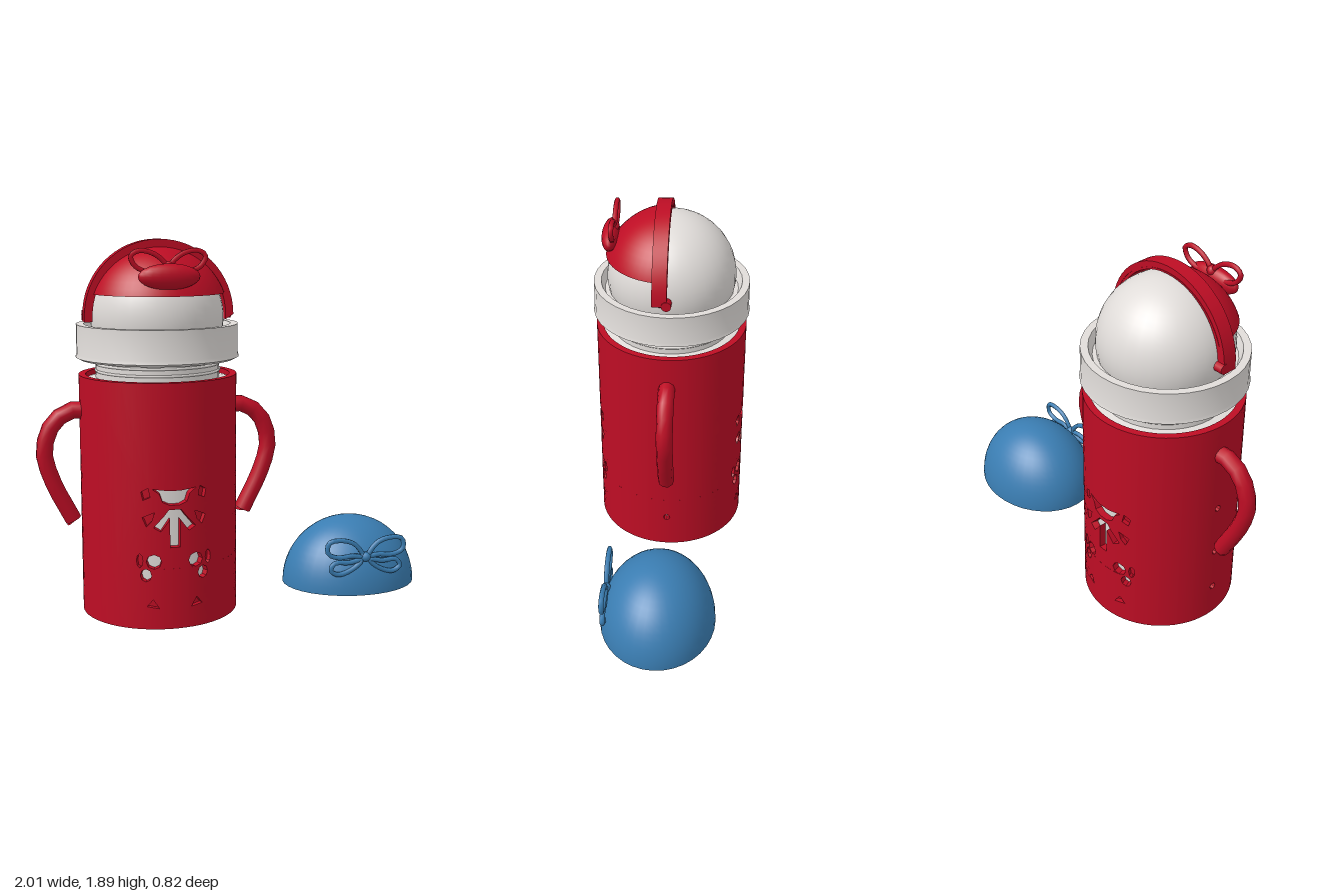
import * as THREE from 'three';
import { toCreasedNormals } from 'three/addons/utils/BufferGeometryUtils.js';

const R = 0.395, WALL = 0.035, CX = -0.39, CAPX = 0.643;
const V2 = (p) => new THREE.Vector2(p[0], p[1]);

export function createModel() {
  const mat = (name, color, side = THREE.FrontSide) => {
    const m = new THREE.MeshStandardMaterial({ color, side });
    m.name = name;
    return m;
  };
  const red = mat('red plastic', 0xbd0d24, THREE.DoubleSide);
  const white = mat('white plastic', 0xe0dcd9, THREE.DoubleSide);
  const blue = mat('blue plastic', 0x3a7db2, THREE.DoubleSide);

  const model = new THREE.Group();
  const bottle = new THREE.Group();
  bottle.name = 'bottle';
  bottle.position.x = CX;
  const cap = new THREE.Group();
  cap.name = 'spareCap';
  cap.position.x = CAPX;
  model.add(bottle, cap);

  const add = (parent, name, geo, material, x = 0, y = 0, z = 0) => {
    const m = new THREE.Mesh(geo, material);
    m.name = name;
    m.position.set(x, y, z);
    parent.add(m);
    return m;
  };
  const lathe = (pts, seg = 40) => toCreasedNormals(new THREE.LatheGeometry(pts.map(V2), seg), 0.6);
  const tube = (pts, r, seg, sides, closed = false) => new THREE.TubeGeometry(
    new THREE.CatmullRomCurve3(pts.map((p) => new THREE.Vector3(p[0], p[1], p[2] || 0)), closed), seg, r, sides, closed);

  // Extrude a flat sheet, slice it finely along x, then roll it round the y axis
  const rolledSheet = (shape, depth, innerRadius) => {
    const src = new THREE.ExtrudeGeometry(shape, { depth, bevelEnabled: false }).toNonIndexed
      ? new THREE.ExtrudeGeometry(shape, { depth, bevelEnabled: false }) : null;
    const pos = src.attributes.position, out = [], todo = [];
    for (let i = 0; i < pos.count; i += 3)
      todo.push([0, 1, 2].map((k) => new THREE.Vector3().fromBufferAttribute(pos, i + k)));
    while (todo.length) {
      const t = todo.pop();
      const spans = [0, 1, 2].map((k) => Math.abs(t[k].x - t[(k + 1) % 3].x));
      const k = spans.indexOf(Math.max(...spans));
      if (spans[k] > 0.06) {
        const a = t[k], b = t[(k + 1) % 3], c = t[(k + 2) % 3];
        const mid = a.clone().add(b).multiplyScalar(0.5);
        todo.push([a, mid, c], [mid, b, c]);
      } else out.push(...t);
    }
    const geo = new THREE.BufferGeometry().setFromPoints(out);
    geo.computeVertexNormals();
    const p = geo.attributes.position, n = geo.attributes.normal;
    for (let i = 0; i < p.count; i++) {
      const a = p.getX(i) / R, s = Math.sin(a), c = Math.cos(a), r = innerRadius + p.getZ(i);
      p.setXYZ(i, r * s, p.getY(i), r * c);
      const nx = n.getX(i), nz = n.getZ(i);
      n.setXYZ(i, nx * c + nz * s, n.getY(i), nz * c - nx * s);
    }
    return geo;
  };

  // Cut-out pattern, listed for one half and mirrored
  const oval = (x, y, rx, ry, n = 8) => Array.from({ length: n }, (_, i) => {
    const a = (i / n) * Math.PI * 2;
    return [x + rx * Math.cos(a), y + ry * Math.sin(a)];
  });
  const flip = (pts) => pts.map(([x, y]) => [-x, y]).reverse();
  const symmetric = (half) => [...half, ...flip(half)];
  const both = (list) => [...list, ...list.map(flip)];
  const through = [
    symmetric([[0.025, 0.635], [0.06, 0.65], [0.075, 0.69], [0.11, 0.715], [0.03, 0.705]]),
    symmetric([[0.025, 0.425], [0.025, 0.565], [0.07, 0.505], [0.105, 0.525], [0.055, 0.58], [0.03, 0.612]]),
    ...both([oval(0.105, 0.355, 0.038, 0.036), oval(0.145, 0.287, 0.028, 0.032)]),
  ];
  const recessed = both([
    [[0.12, 0.675], [0.155, 0.66], [0.165, 0.70], [0.13, 0.72]],
    [[0.115, 0.555], [0.14, 0.53], [0.16, 0.575], [0.1, 0.6]],
    oval(0.175, 0.36, 0.016, 0.035),
    [[0.08, 0.12], [0.14, 0.13], [0.11, 0.165]],
  ]);
  const shift = (pts, dx) => pts.map(([x, y]) => [x + dx, y]);

  // Rolled outer sleeve with cut-outs on front and back, and small holes down each side
  const u0 = -Math.PI / 3 * R, u1 = u0 + 2 * Math.PI * R;
  const sheet = new THREE.Shape([[u0, 0.015], [u1, 0.015], [u1, 1.225], [u0, 1.225]].map(V2));
  const punch = (pts) => sheet.holes.push(new THREE.Path(pts.map(V2)));
  for (const dx of [0, Math.PI * R]) {
    through.forEach((h) => punch(shift(h, dx)));
    recessed.forEach((h) => {
      punch(shift(h, dx));
      add(bottle, 'recessFloor', rolledSheet(new THREE.Shape(shift(h, dx).map(V2)), 0.01, R - WALL + 0.002), red);
    });
    for (const y of [0.2, 0.44, 0.72]) punch(oval(dx + Math.PI / 2 * R, y, 0.018, 0.018));
  }
  add(bottle, 'outerSleeve', rolledSheet(sheet, WALL, R - WALL), red);

  // Inner liner with shoulder and threaded neck, open below
  add(bottle, 'innerLiner', lathe([[0.357, 0.02], [0.357, 1.2], [0.31, 1.21], [0.31, 1.32]]), white);
  for (const y of [1.245, 1.28]) {
    const ridge = add(bottle, 'neckThread', new THREE.TorusGeometry(0.309, 0.007, 6, 40), white, 0, y);
    ridge.rotation.x = Math.PI / 2;
  }
  add(bottle, 'straw', tube([[0.06, 0.08, 0.06], [0.03, 0.6, 0.03], [0, 1.4, 0]], 0.035, 12, 10), white);

  // Screw collar and domed lid
  add(bottle, 'collar', lathe([[0, 1.40], [0.3, 1.32], [0.385, 1.30], [0.408, 1.312], [0.403, 1.33],
    [0.403, 1.475], [0.365, 1.475], [0.345, 1.43], [0, 1.43]], 36), white);
  add(bottle, 'lidDome', new THREE.SphereGeometry(0.332, 32, 18, 0, Math.PI * 2, 0, 1.8), white, 0, 1.508);

  // Visor with its edge band and pivots
  add(bottle, 'visor', new THREE.SphereGeometry(0.357, 28, 12, 0, Math.PI, 0, Math.acos(0.122 / 0.357)), red, 0, 1.503);
  const arch = new THREE.Shape();
  arch.moveTo(0.373, -0.025);
  arch.absarc(0, 0, 0.373, 0, Math.PI, false);
  arch.lineTo(-0.373, -0.025);
  arch.lineTo(-0.333, -0.025);
  arch.absarc(0, 0, 0.333, Math.PI, 0, true);
  arch.lineTo(0.333, -0.025);
  const archGeo = new THREE.ExtrudeGeometry(arch, { depth: 0.075, bevelEnabled: false, curveSegments: 16 });
  add(bottle, 'visorBand', toCreasedNormals(archGeo, 0.6), red, 0, 1.517, 0.002);
  for (const s of [-1, 1]) {
    const pivot = add(bottle, 'visorPivot', new THREE.CylinderGeometry(0.026, 0.026, 0.05, 10), red, s * 0.35, 1.52, 0.005);
    pivot.rotation.z = Math.PI / 2;
  }

  // Wire bows made of mirrored loops
  const bow = (parent, material, x, y, z, loops) => {
    for (const s of [-1, 1]) for (const l of loops)
      add(parent, 'bowLoop', tube(l.map(([a, b]) => [a * s, b, 0]), 0.013, 24, 6, true), material, x, y, z);
    add(parent, 'bowKnot', new THREE.SphereGeometry(0.026, 10, 8), material, x, y, z);
  };
  bow(bottle, red, 0, 1.765, 0.29, [[[0.01, 0], [0.06, 0.055], [0.14, 0.075], [0.18, 0.05], [0.155, 0], [0.08, -0.025]]]);
  const nose = add(bottle, 'visorCushion', new THREE.SphereGeometry(1, 20, 14), red, 0, 1.718, 0.31);
  nose.scale.set(0.15, 0.062, 0.045);

  // Side handles
  for (const s of [-1, 1]) {
    const path = [[0.36, 1.05], [0.44, 1.05], [0.53, 0.99], [0.577, 0.85], [0.54, 0.7], [0.44, 0.495]]
      .map(([x, y]) => new THREE.Vector3(x * s, y, 0));
    const handle = new THREE.Group();
    handle.name = 'handle';
    bottle.add(handle);
    const curve = new THREE.CatmullRomCurve3(path);
    add(handle, 'handleGrip', new THREE.TubeGeometry(curve, 10, 0.043, 10), red);
    const end = add(handle, 'handleEnd', new THREE.CircleGeometry(0.043, 10), red, path[5].x, path[5].y);
    end.lookAt(path[5].clone().add(curve.getTangent(1)));
  }

  // Spare cap: open half dome with a bow and a sagging strap below
  const shell = add(cap, 'capShell', new THREE.SphereGeometry(1, 36, 14, 0, Math.PI * 2, 0, Math.PI / 2), blue, 0, 0.065);
  shell.scale.set(0.357, 0.355, 0.295);
  bow(cap, blue, 0, 0.262, 0.262, [
    [[0.015, 0.005], [0.06, 0.07], [0.13, 0.095], [0.2, 0.085], [0.205, 0.03], [0.15, 0.005], [0.07, 0.01]],
    [[0.02, -0.015], [0.09, -0.025], [0.17, -0.025], [0.19, -0.06], [0.15, -0.085], [0.07, -0.06]],
  ]);
  add(cap, 'capStrap', tube([[-0.33, 0.068, 0], [-0.2, 0.03, 0.045], [0, 0.013, 0.07], [0.2, 0.03, 0.045], [0.33, 0.068, 0]],
    0.012, 20, 6), blue);
  for (const s of [-1, 1]) add(cap, 'strapEnd', new THREE.SphereGeometry(0.02, 8, 6), blue, s * 0.325, 0.08, 0);

  return model;
}
